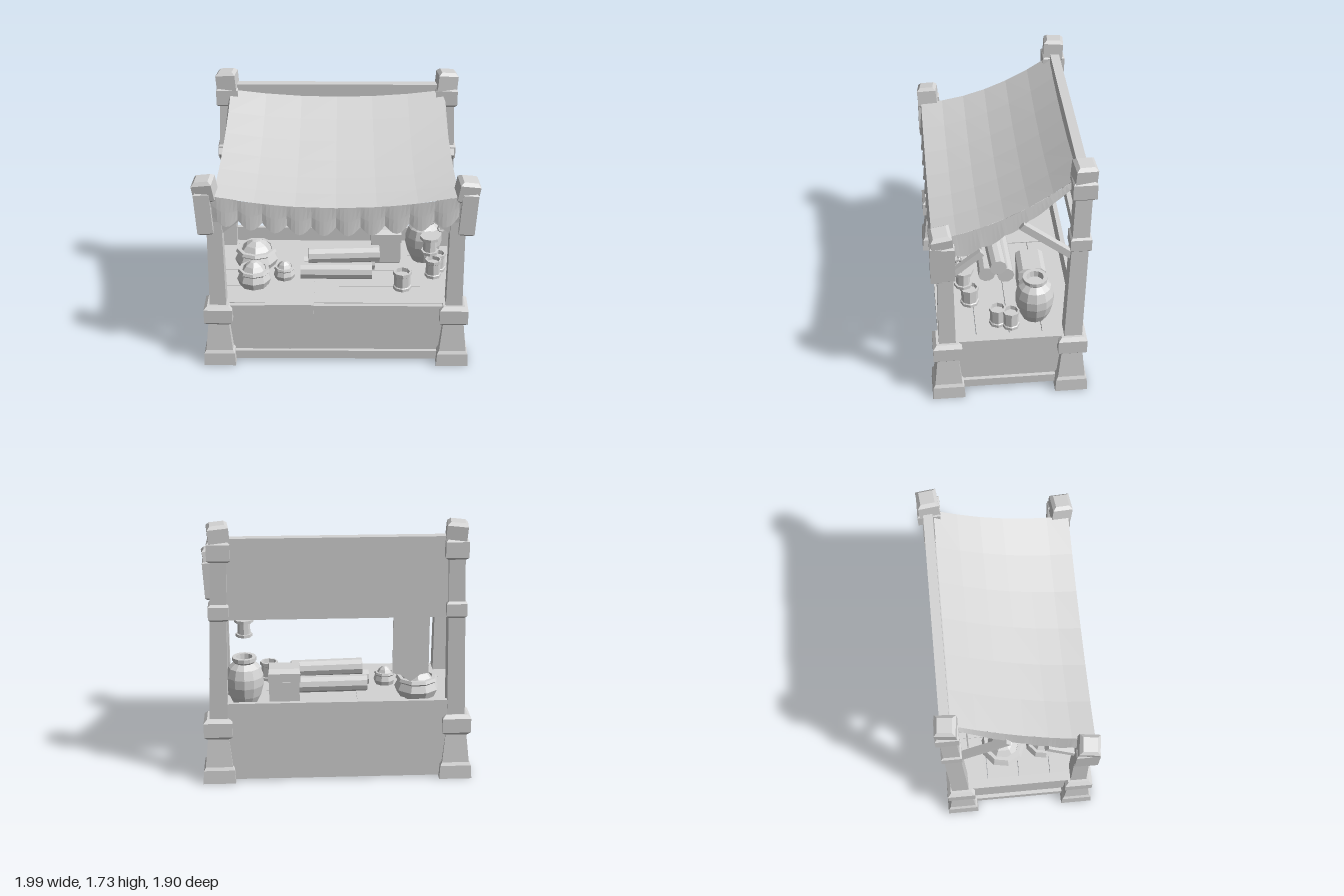
import * as THREE from 'three';

const grey = new THREE.MeshStandardMaterial({ color: 0xd4d4d4, flatShading: true, side: THREE.DoubleSide });
grey.name = 'plain grey';

function add(parent, name, geometry, x = 0, y = 0, z = 0) {
  const m = new THREE.Mesh(geometry, grey);
  m.name = name;
  m.position.set(x, y, z);
  parent.add(m);
  return m;
}
const box = (parent, name, w, h, d, x, y, z) => add(parent, name, new THREE.BoxGeometry(w, h, d), x, y, z);

function surface(pos, idx) {
  const g = new THREE.BufferGeometry();
  g.setAttribute('position', new THREE.Float32BufferAttribute(pos, 3));
  g.setIndex(idx);
  g.computeVertexNormals();
  return g;
}
// Stack of rectangular sections [x, y, z, halfWidth, halfDepth]; the underside may stay open
function loft(rows, open = false) {
  const pos = [], idx = open ? [] : [0, 2, 1, 0, 3, 2];
  for (const [x, y, z, a, b = a] of rows)
    pos.push(x - a, y, z - b, x - a, y, z + b, x + a, y, z + b, x + a, y, z - b);
  for (let r = 0; r < rows.length - 1; r++)
    for (let i = 0; i < 4; i++) {
      const a = r * 4 + i, b = r * 4 + (i + 1) % 4;
      idx.push(a, b, b + 4, a, b + 4, a + 4);
    }
  const t = (rows.length - 1) * 4;
  idx.push(t, t + 1, t + 2, t, t + 2, t + 3);
  return surface(pos, idx);
}
// Grid surface from a rule f(s, t) -> [x, y, z]
function sheet(n, m, f) {
  const pos = [], idx = [];
  for (let j = 0; j <= m; j++) for (let i = 0; i <= n; i++) pos.push(...f(i / n, j / m));
  for (let j = 0; j < m; j++)
    for (let i = 0; i < n; i++) {
      const a = j * (n + 1) + i, c = a + n + 1;
      idx.push(a, c, a + 1, a + 1, c, c + 1);
    }
  return surface(pos, idx);
}
// Bevelled block centred on its origin
function block(w, h, d, c = 0.015) {
  const a = w / 2, b = d / 2, y = h / 2;
  return loft([[0, -y, 0, a - c, b - c], [0, -y + c, 0, a, b], [0, y - c, 0, a, b], [0, y, 0, a - c, b - c]]);
}
// Square timber between two points
function beam(parent, name, p, q, w) {
  const a = new THREE.Vector3(...p), b = new THREE.Vector3(...q);
  const m = add(parent, name, new THREE.BoxGeometry(w, a.distanceTo(b), w));
  m.position.copy(a).lerp(b, 0.5);
  m.quaternion.setFromUnitVectors(new THREE.Vector3(0, 1, 0), b.sub(a).normalize());
}
const lathe = (pts, n) => new THREE.LatheGeometry(pts.map(p => new THREE.Vector2(...p)), n);
// Thin cloth strip with shoulders and a pointed lower end
function pennant(w, h, tip) {
  const s = new THREE.Shape();
  s.moveTo(-w / 2, 0); s.lineTo(-w / 2, -h + tip); s.lineTo(-w * 0.28, -h + tip * 0.85);
  s.lineTo(0, -h); s.lineTo(w * 0.28, -h + tip * 0.85); s.lineTo(w / 2, -h + tip); s.lineTo(w / 2, 0);
  return new THREE.ExtrudeGeometry(s, { depth: 0.008, bevelEnabled: false });
}

export function createModel() {
  const model = new THREE.Group();
  const stall = new THREE.Group();
  stall.name = 'marketStall';
  stall.rotation.y = -40 * Math.PI / 180;
  model.add(stall);

  // Corner posts with flared feet, collars and tilted caps
  for (const s of [-1, 1]) {
    for (const front of [true, false]) {
      const post = new THREE.Group();
      post.name = front ? 'frontPost' : 'backPost';
      stall.add(post);
      const x = s * 0.77, z = front ? 0.4 : -0.4;
      const tx = s * (front ? 0.82 : 0.735), tz = front ? 0.42 : -0.44;
      add(post, 'foot', loft([[x, 0, z, 0.106], [x, 0.09, z, 0.1], [x, 0.11, z, 0.088], [x, 0.32, z, 0.066]], true));
      add(post, 'lowerCollar', block(0.185, 0.14, 0.185, 0.022), x, 0.37, z);
      add(post, 'shaft', loft(front
        ? [[x, 0.3, z, 0.055], [x, 1.05, z, 0.048], [tx, 1.25, tz, 0.048]]
        : [[x, 0.3, z, 0.058], [tx, 1.6, tz, 0.05]]));
      const cap = add(post, 'cap', block(0.13, 0.15, 0.13, 0.02), tx, front ? 1.27 : 1.65, tz);
      cap.rotation.set(front ? 0.1 : -0.04, s * 0.1, -s * (front ? 0.16 : 0.08));
      if (front) {
        add(post, 'sideCleat', block(0.06, 0.28, 0.1), s * 0.85, 1.12, 0.39).rotation.z = -s * 0.06;
        add(post, 'frontCleat', block(0.1, 0.3, 0.07), s * 0.83, 1.12, 0.455).rotation.z = -s * 0.06;
      } else {
        add(post, 'upperCollar', block(0.145, 0.13, 0.145), tx, 1.555, tz);
        add(post, 'middleCollar', block(0.13, 0.11, 0.13), s * 0.745, 1.16, -0.43);
      }
    }
    // Diagonal braces
    beam(stall, 'sideBrace', [s * 0.75, 1.04, -0.4], [s * 0.75, 1.3, -0.07], 0.045);
    beam(stall, 'frontSideBrace', [s * 0.77, 0.95, 0.38], [s * 0.76, 1.12, 0.17], 0.04);
    beam(stall, 'frontBrace', [s * 0.76, 0.95, 0.4], [s * 0.55, 1.12, 0.41], 0.04);
    // End walls of the counter
    box(stall, 'endWall', 0.03, 0.38, 0.76, s * 0.77, 0.2, 0);
    box(stall, 'endSkirting', 0.05, 0.06, 0.7, s * 0.785, 0.06, 0);
    box(stall, 'endTrim', 0.06, 0.07, 0.7, s * 0.79, 0.405, 0);
  }

  // Counter, open underneath
  box(stall, 'frontWall', 1.5, 0.38, 0.03, 0, 0.2, 0.4);
  box(stall, 'frontSkirting', 1.42, 0.06, 0.05, 0, 0.045, 0.415);
  box(stall, 'frontTrim', 1.42, 0.07, 0.06, 0, 0.4, 0.425);
  box(stall, 'backWall', 1.42, 0.53, 0.03, 0, 0.275, -0.445);
  for (let i = 0; i < 4; i++) box(stall, 'counterPlank', 1.56, 0.03, 0.208, 0, 0.425, -0.318 + i * 0.212);

  // Back board between the tall posts, and the front rail
  box(stall, 'backBoard', 1.42, 0.44, 0.02, 0, 1.34, -0.445);
  box(stall, 'backTopRail', 1.44, 0.07, 0.06, 0, 1.6, -0.445);
  box(stall, 'backLowerRail', 1.44, 0.08, 0.05, 0, 1.145, -0.43);
  box(stall, 'frontRail', 1.52, 0.05, 0.05, 0, 1.125, 0.4);

  // Sagging awning with scalloped edges
  const roof = (s, t) => {
    const k = 2 * s - 1;
    return [k * (0.71 + 0.06 * t), 1.6 - 0.66 * t + 0.3 * t * t - (0.05 + 0.03 * t) * (1 - k * k), -0.41 + 0.88 * t];
  };
  add(stall, 'awning', sheet(6, 6, roof));
  add(stall, 'frontValance', sheet(60, 2, (s, d) => {
    const [x, y, z] = roof(s, 1);
    const lobe = Math.abs(Math.sin(s * Math.PI * 10));
    return [x, y - d * (0.135 + 0.055 * lobe), z + 0.018 * d * lobe];
  }));
  for (const side of [0, 1])
    add(stall, 'sideValance', sheet(36, 1, (t, d) => {
      const [x, y, z] = roof(side, t);
      const drop = 0.03 + 0.12 * Math.sin(t * Math.PI / 2) + 0.035 * t * Math.abs(Math.sin(t * Math.PI * 6));
      return [x + (side ? 0.015 : -0.015) * d, y - d * drop, z];
    }));

  // Hanging cloths
  add(stall, 'hangingBanner', pennant(0.235, 0.51, 0.06), -0.48, 1.13, -0.33);
  box(stall, 'bannerRod', 0.27, 0.02, 0.1, -0.48, 1.13, -0.37);
  add(stall, 'counterCloth', pennant(0.32, 0.345, 0.11), -0.305, 0.446, 0.457);
  box(stall, 'counterRunner', 0.32, 0.008, 0.84, -0.305, 0.442, 0.043);

  // Lantern and chain
  add(stall, 'lantern', lathe([[0, 0], [0.045, 0], [0.045, 0.015], [0.042, 0.1], [0.066, 0.108],
    [0.066, 0.128], [0, 0.128]], 8), 0.61, 0.735, 0.28);
  add(stall, 'lanternBase', new THREE.CylinderGeometry(0.058, 0.058, 0.02, 8), 0.61, 0.75, 0.28);
  [0.935, 0.975, 1.015].forEach((y, i) => {
    add(stall, 'chainLink', new THREE.TorusGeometry(0.025, 0.007, 5, 10), 0.68, y, 0.3).rotation.y = i % 2 ? 1.4 : 0.3;
  });

  // Large jar
  add(stall, 'jar', lathe([[0, 0], [0.08, 0], [0.108, 0.06], [0.125, 0.13], [0.125, 0.19], [0.105, 0.25],
    [0.068, 0.282], [0.08, 0.295], [0.08, 0.32], [0.055, 0.32], [0.05, 0.28], [0, 0.28]], 12), 0.6, 0.44, -0.18);

  // Small rimmed pots
  for (const [x, z, r] of [[0.69, -0.018, 0.056], [0.655, 0.065, 0.056], [0.44, 0.23, 0.062]])
    add(stall, 'pot', lathe([[0, 0], [r, 0], [r, 0.02], [r * 0.88, 0.025], [r * 0.88, 0.1], [r, 0.105],
      [r, 0.128], [r * 0.8, 0.128], [r * 0.75, 0.1], [0, 0.1]], 8), x, 0.44, z);

  // Chest with a bevelled lid
  add(stall, 'chest', block(0.2, 0.17, 0.17, 0.008), 0.34, 0.525, -0.18);
  add(stall, 'chestLid', loft([[0, 0, 0, 0.105, 0.09], [0, 0.06, 0, 0.105, 0.09], [0, 0.085, 0, 0.1, 0.06]]),
    0.34, 0.605, -0.18);

  // Stacked cloth rolls
  for (const [x, y, z, turn] of [[0, 0.495, 0.1, 0], [0.02, 0.495, -0.02, 0.03], [0.05, 0.588, 0.04, 0.06]]) {
    const roll = add(stall, 'clothRoll', new THREE.CylinderGeometry(0.057, 0.057, 0.48, 10), x, y, z);
    roll.rotation.set(0, turn, Math.PI / 2);
  }

  // Open sacks with rolled rims and faceted heaps
  for (const [x, z, r, h] of [[-0.55, 0.177, 0.115, 0.12], [-0.55, -0.09, 0.15, 0.13], [-0.35, 0.1, 0.074, 0.09]]) {
    const sack = new THREE.Group();
    sack.name = 'sack';
    sack.position.set(x, 0.44, z);
    stall.add(sack);
    add(sack, 'sackBody', lathe([[0, 0], [r * 0.85, 0], [r, h * 0.4], [r * 0.85, h * 0.75], [r * 0.95, h * 0.85],
      [r * 0.88, h], [r * 0.72, h], [r * 0.7, h * 0.8], [0, h * 0.8]], 9));
    add(sack, 'heap', lathe([[r * 0.78, h * 0.85], [r * 0.5, h * 1.2], [r * 0.2, h * 1.4], [0, h * 1.42]].reverse(), 6));
  }
  return model;
}
